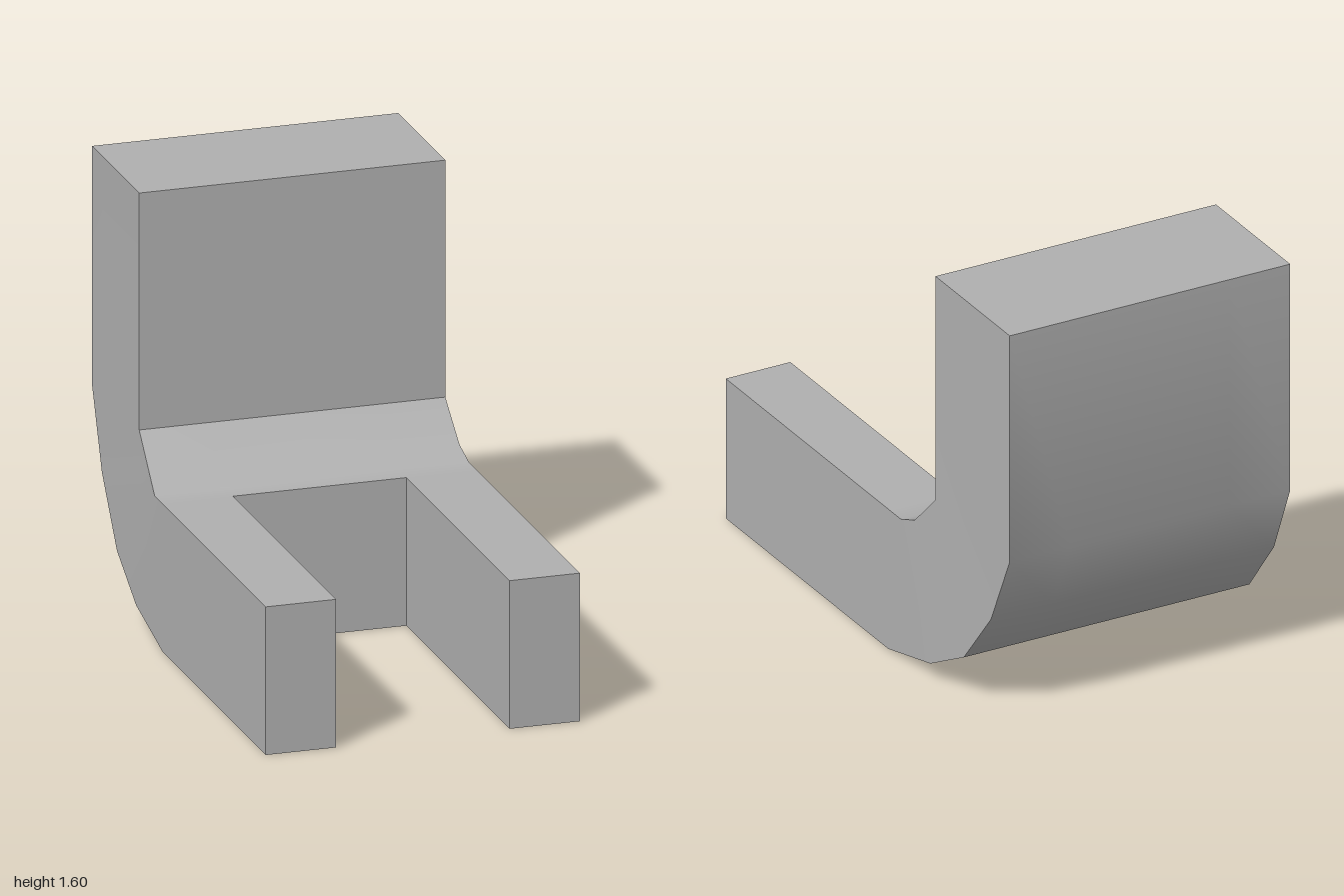
import * as THREE from 'three';
import { toCreasedNormals } from 'three/addons/utils/BufferGeometryUtils.js';

// Side profile as [z, y, half width], running along the underside, up the back and down the inside
const NOTCH_Z = -0.16, NOTCH_X = 0.32;
const profile = [
  [1, 0, 0.58], [NOTCH_Z, 0, 0.58],
  [-0.46, 0.075, 0.58], [-0.69, 0.2, 0.575], [-0.875, 0.43, 0.57], [-1, 0.71, 0.565],
  [-1, 1.6, 0.565], [-0.47, 1.6, 0.565], [-0.47, 0.72, 0.565],
  [-0.34, 0.585, 0.575], [-0.25, 0.55, 0.58], [NOTCH_Z, 0.55, 0.58], [1, 0.55, 0.58],
];
// The inner bend is a straight bevel on the right side
const rightBend = [-0.34, 0.62, 0.574];
// Convex pieces that fill the profile on each side
const sidePieces = [[0, 1, 11, 12], [1, 2, 10, 11], [2, 3, 9, 10], [3, 4, 8, 9], [4, 5, 8], [5, 6, 7, 8]];

function bracketGeometry() {
  const positions = [];

  // Columns 0..3 run from the right side (-x) to the left side (+x)
  const point = (i, column) => {
    const [z, y, half] = i === 9 && column < 2 ? rightBend : profile[i];
    const x = [-half, -NOTCH_X, NOTCH_X, half][column];
    return [x, y, z];
  };
  const face = (corners) => {
    for (let k = 1; k < corners.length - 1; k++) {
      positions.push(...corners[0], ...corners[k], ...corners[k + 1]);
    }
  };

  // Skin around the profile; the middle column is open between the arms
  profile.forEach((_, i) => {
    const j = (i + 1) % profile.length;
    const openMiddle = i === 0 || i >= 11;
    for (let c = 0; c < 3; c++) {
      if (c === 1 && openMiddle) continue;
      face([point(i, c), point(j, c), point(j, c + 1), point(i, c + 1)]);
    }
  });
  // End wall of the notch
  face([point(11, 1), point(1, 1), point(1, 2), point(11, 2)]);

  // Outer sides
  for (const piece of sidePieces) {
    face(piece.map((i) => point(i, 3)));
    face(piece.map((i) => point(i, 0)).reverse());
  }
  // Inner walls of the arms
  face(sidePieces[0].map((i) => point(i, 1)));
  face(sidePieces[0].map((i) => point(i, 2)).reverse());

  const geometry = new THREE.BufferGeometry();
  geometry.setAttribute('position', new THREE.Float32BufferAttribute(positions, 3));
  return toCreasedNormals(geometry, 0.7);
}

export function createModel() {
  const group = new THREE.Group();
  group.name = 'forkedBracket';

  const grey = new THREE.MeshStandardMaterial({ color: 0xb0b0b0 });
  grey.name = 'grey';

  const body = new THREE.Mesh(bracketGeometry(), grey);
  body.name = 'bracketBody';
  group.add(body);
  return group;
}
